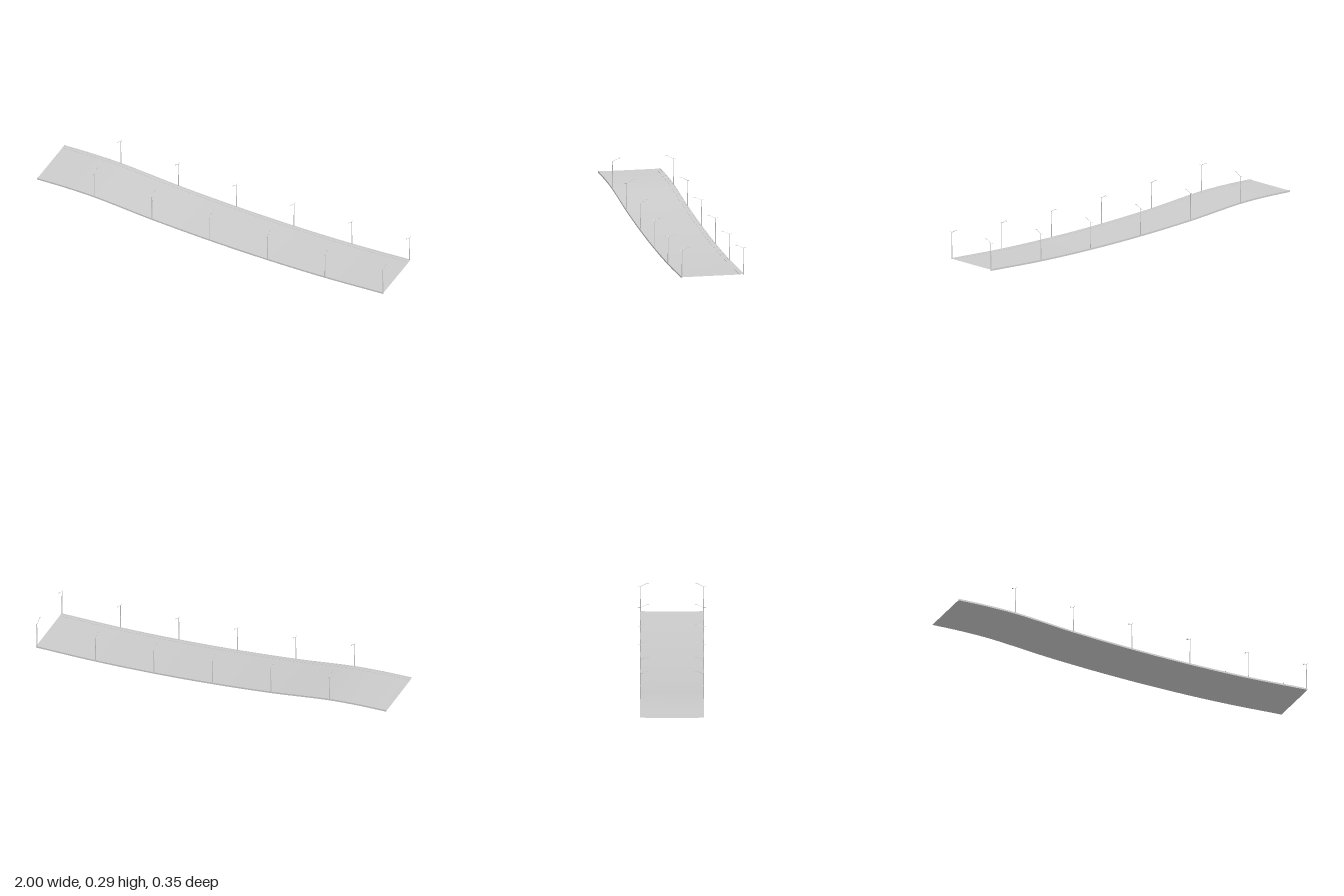
import * as THREE from 'three';

const material = new THREE.MeshStandardMaterial({ color: 0xcccccc, roughness: 0.8 });

// Height of the road surface along x
const slope = new THREE.CatmullRomCurve3([
  [-1, 0.144], [-0.84, 0.139], [-0.67, 0.127], [-0.34, 0.083], [0, 0.048],
  [0.33, 0.024], [0.66, 0.010], [1, 0.007],
].map(([x, y]) => new THREE.Vector3(x, y, 0)), false, 'centripetal');
const SEGMENTS = 64;
const stations = slope.getPoints(SEGMENTS);

function roadY(x) {
  let i = 1;
  while (i < SEGMENTS && stations[i].x < x) i++;
  const a = stations[i - 1], b = stations[i];
  return THREE.MathUtils.mapLinear(x, a.x, b.x, a.y, b.y);
}

// One strip swept along the slope between two section corners [z, y offset]
function strip(a, b) {
  const positions = [], index = [];
  stations.forEach((p, i) => {
    positions.push(p.x, p.y + a[1], a[0], p.x, p.y + b[1], b[0]);
    if (i < SEGMENTS) {
      const k = i * 2;
      index.push(k, k + 2, k + 3, k, k + 3, k + 1);
    }
  });
  const g = new THREE.BufferGeometry();
  g.setAttribute('position', new THREE.Float32BufferAttribute(positions, 3));
  g.setIndex(index);
  g.computeVertexNormals();
  return g;
}

// Thin rod between two points
function rod(name, from, to, r0, r1 = r0, sides = 8) {
  const d = to.clone().sub(from);
  const mesh = new THREE.Mesh(new THREE.CylinderGeometry(r1, r0, d.length(), sides), material);
  mesh.name = name;
  mesh.position.copy(from).addScaledVector(d, 0.5);
  mesh.quaternion.setFromUnitVectors(new THREE.Vector3(0, 1, 0), d.normalize());
  return mesh;
}

// Street lamp whose arm reaches towards -z
function createLamp() {
  const lamp = new THREE.Group();
  const v = (y, z) => new THREE.Vector3(0, y, z);
  lamp.add(rod('lampBase', v(-0.004, 0), v(0.07, 0), 0.0026, 0.0022));
  lamp.add(rod('lampPole', v(0.07, 0), v(0.14, 0), 0.0017, 0.0014));
  lamp.add(rod('lampArm', v(0.139, 0), v(0.156, -0.032), 0.001, 0.0008, 6));
  lamp.add(rod('lampBracket', v(0.14, 0.013), v(0.14, -0.003), 0.001, 0.001, 6));
  const head = new THREE.Mesh(new THREE.BoxGeometry(0.004, 0.002, 0.011), material);
  head.name = 'lampHead';
  head.position.set(0, 0.1565, -0.037);
  lamp.add(head);
  return lamp;
}

export function createModel() {
  const model = new THREE.Group();
  model.name = 'slopedRoad';

  // Road section: parapet, sidewalk and carriageway, mirrored, then the underside
  const half = [[0.167, -0.007], [0.167, 0.002], [0.161, 0.002], [0.161, 0.001], [0.142, 0.001], [0.142, 0]];
  const section = [...half, ...half.map(([z, y]) => [-z, y]).reverse()];
  const names = ['parapetSide', 'parapetTop', 'parapetInside', 'sidewalk', 'curb', 'carriageway',
    'curb', 'sidewalk', 'parapetInside', 'parapetTop', 'parapetSide', 'underside'];
  const road = new THREE.Group();
  road.name = 'road';
  section.forEach((corner, i) => {
    const mesh = new THREE.Mesh(strip(corner, section[(i + 1) % section.length]), material);
    mesh.name = names[i];
    road.add(mesh);
  });
  model.add(road);

  // Six pairs of lamps standing on the parapets
  for (let i = 0; i < 6; i++) {
    const x = -0.672 + i * 0.3335;
    for (const side of [1, -1]) {
      const lamp = createLamp();
      lamp.name = side > 0 ? 'frontLamp' : 'backLamp';
      lamp.position.set(x, roadY(x) + 0.001, side * 0.164);
      if (side < 0) lamp.rotation.y = Math.PI;
      model.add(lamp);
    }
  }
  return model;
}
